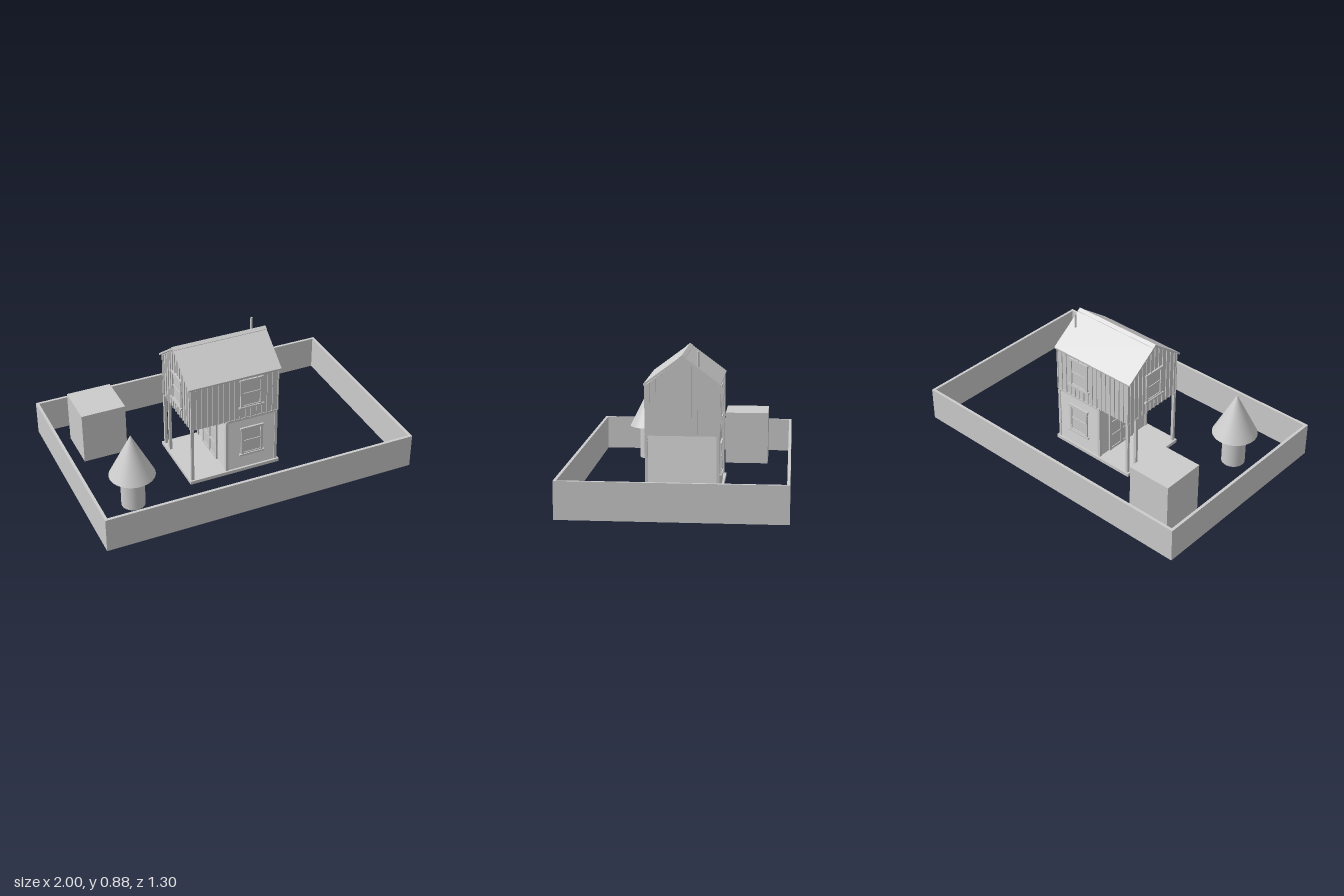
import * as THREE from 'three';

export function createModel() {
  const model = new THREE.Group();
  const grey = new THREE.MeshStandardMaterial({ color: 0xcccccc });
  grey.name = 'plain grey';

  const add = (parent, name, geometry, x = 0, y = 0, z = 0) => {
    const mesh = new THREE.Mesh(geometry, grey);
    mesh.name = name;
    mesh.position.set(x, y, z);
    parent.add(mesh);
    return mesh;
  };
  // Box given by its min and max on each axis
  const span = (parent, name, x0, x1, y0, y1, z0, z1) =>
    add(parent, name, new THREE.BoxGeometry(x1 - x0, y1 - y0, z1 - z0), (x0 + x1) / 2, (y0 + y1) / 2, (z0 + z1) / 2);
  const group = (name, parent = model) => {
    const g = new THREE.Group();
    g.name = name;
    parent.add(g);
    return g;
  };
  // Profile in (z, y), symmetric in z, swept along x
  const sweep = (points, x0, x1) => {
    const shape = new THREE.Shape(points.map(p => new THREE.Vector2(p[0], p[1])));
    return new THREE.ExtrudeGeometry(shape, { depth: x1 - x0, bevelEnabled: false })
      .rotateY(Math.PI / 2).translate(x0, 0, 0);
  };

  // Perimeter wall
  const fence = group('perimeterWall');
  for (const s of [-1, 1]) {
    add(fence, 'longWall', new THREE.BoxGeometry(2, 0.22, 0.018), 0, 0.145, s * 0.641);
    add(fence, 'shortWall', new THREE.BoxGeometry(0.018, 0.22, 1.264), s * 0.991, 0.145, 0);
  }

  // Shed block and tree
  span(model, 'shed', -0.835, -0.55, 0.035, 0.373, -0.495, -0.215);
  const tree = group('tree');
  tree.position.set(-0.705, 0, 0.298);
  add(tree, 'trunk', new THREE.CylinderGeometry(0.073, 0.073, 0.22, 32), 0, 0.145, 0);
  add(tree, 'foliage', new THREE.ConeGeometry(0.14, 0.278, 40), 0, 0.391, 0);

  // Ground slab
  const house = group('house');
  span(house, 'slab', -0.305, 0.297, 0, 0.022, -0.235, 0.235);

  // Lower room with overlapping boards, each one narrower at its top edge
  const lower = group('lowerRoom', house);
  span(lower, 'lowerCore', -0.055, 0.279, 0.022, 0.39, -0.218, 0.218);
  const rows = 19, rowH = 0.353 / rows;
  for (let i = 0; i < rows; i++) {
    const g = new THREE.BoxGeometry(0.342, rowH, 0.444);
    const p = g.attributes.position;
    for (let k = 0; k < p.count; k++) {
      if (p.getY(k) > 0) {
        p.setX(k, p.getX(k) - Math.sign(p.getX(k)) * 0.004);
        p.setZ(k, p.getZ(k) - Math.sign(p.getZ(k)) * 0.004);
      }
    }
    g.computeVertexNormals();
    add(lower, 'lapBoard', g, 0.112, 0.022 + (i + 0.5) * rowH, 0);
  }
  span(lower, 'frieze', -0.061, 0.285, 0.375, 0.39, -0.224, 0.224);
  for (const s of [-1, 1]) {
    for (const x of [-0.055, 0.277]) {
      add(lower, 'cornerBoard', new THREE.BoxGeometry(0.018, 0.355, 0.018), x, 0.2, s * 0.216);
    }
  }

  // Porch posts
  for (const z of [-0.215, -0.14, 0.215]) {
    span(house, 'porchPost', -0.294, -0.276, 0.022, 0.39, z - 0.009, z + 0.009);
  }

  // Upper floor with its gables
  const upper = group('upperFloor', house);
  const under = z => 0.845 - 0.75 * Math.abs(z);
  add(upper, 'upperWalls',
    sweep([[-0.22, 0.388], [0.22, 0.388], [0.22, under(0.22)], [0, under(0)], [-0.22, under(0.22)]], -0.29, 0.285));

  // Vertical battens, interrupted behind the windows
  const winLow = 0.462, winHigh = 0.665;
  const batten = (x, z, w, d, top, broken) => {
    const parts = broken ? [[0.388, winLow], [winHigh, top]] : [[0.388, top]];
    for (const [y0, y1] of parts) {
      if (y1 > y0) span(upper, 'batten', x - w / 2, x + w / 2, y0, y1, z - d / 2, z + d / 2);
    }
  };
  for (let i = 0; i < 17; i++) {
    const x = -0.2905 + i * 0.036;
    for (const s of [-1, 1]) batten(x, s * 0.2225, 0.007, 0.007, 0.68, Math.abs(x - 0.105) < 0.078);
  }
  for (let i = -6; i < 6; i++) {
    const z = (i + 0.5) * 0.0362;
    batten(0.2875, z, 0.007, 0.007, under(z), false);
    batten(-0.2925, z, 0.007, 0.007, under(z), Math.abs(z - 0.01) < 0.078);
  }

  // Sash window facing +z, origin at its bottom centre on the wall
  const sashWindow = (x, y, z, turn) => {
    const w = group('window', house);
    w.position.set(x, y, z);
    w.rotation.y = turn;
    span(w, 'glass', -0.065, 0.065, 0, 0.19, -0.004, 0.002);
    for (const s of [-1, 1]) add(w, 'jamb', new THREE.BoxGeometry(0.016, 0.19, 0.014), s * 0.065, 0.095, 0.003);
    span(w, 'head', -0.078, 0.078, 0.18, 0.196, -0.004, 0.011);
    span(w, 'middleRail', -0.06, 0.06, 0.09, 0.1, -0.004, 0.007);
    span(w, 'bottomRail', -0.06, 0.06, 0, 0.012, -0.004, 0.007);
    span(w, 'sill', -0.084, 0.084, -0.008, 0.004, -0.004, 0.014);
  };
  for (const s of [-1, 1]) {
    const turn = s > 0 ? 0 : Math.PI;
    sashWindow(0.105, 0.47, s * 0.22, turn);
    sashWindow(0.112, 0.122, s * 0.221, turn);
  }
  sashWindow(-0.29, 0.47, 0.01, -Math.PI / 2);

  // Panelled double door under the overhang
  const door = group('doubleDoor', house);
  door.position.set(-0.059, 0.022, -0.025);
  door.rotation.y = -Math.PI / 2;
  span(door, 'doorLeaf', -0.1, 0.1, 0, 0.31, -0.004, 0.003);
  for (const x of [-0.1, 0, 0.1]) span(door, 'stile', x - 0.01, x + 0.01, 0, 0.31, -0.004, 0.009);
  for (const y of [0.008, 0.105, 0.205, 0.308]) span(door, 'rail', -0.1, 0.1, y - 0.008, y + 0.008, -0.004, 0.008);

  // Pitched roof with ridge cap
  const roof = group('roof', house);
  add(roof, 'roofSheets',
    sweep([[-0.23, 0.677], [0, 0.845], [0.23, 0.677], [0.232, 0.689], [0, 0.861], [-0.232, 0.689]], -0.31, 0.3));
  add(roof, 'ridgeCap',
    sweep([[-0.02, 0.844], [0, 0.859], [0.02, 0.844], [0.02, 0.849], [0, 0.864], [-0.02, 0.849]], -0.311, 0.301));

  // Stove pipe
  add(house, 'stovePipe', new THREE.CylinderGeometry(0.007, 0.007, 0.125, 12), 0.25, 0.82, -0.093);

  return model;
}
